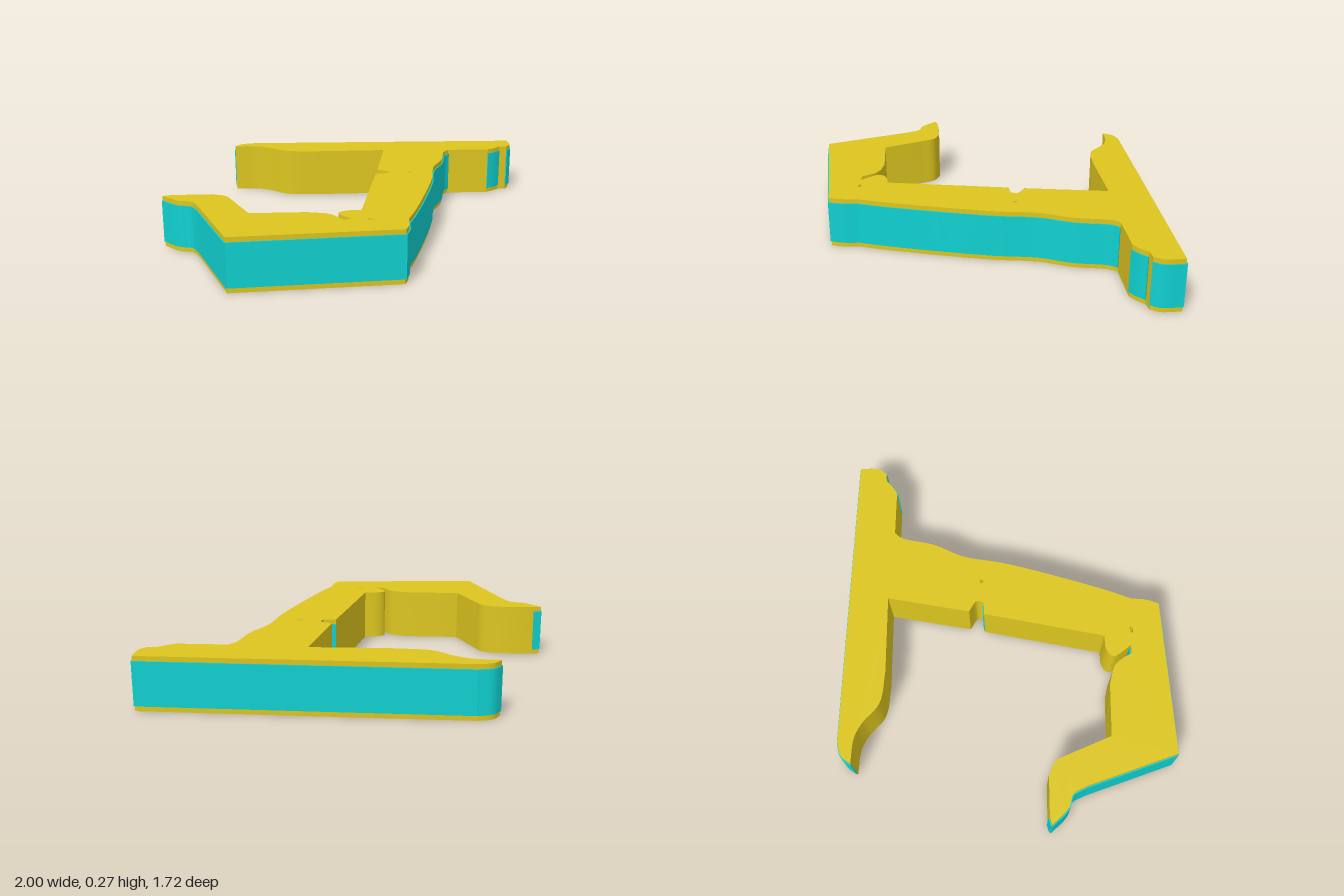
import * as THREE from 'three';
import { toCreasedNormals } from 'three/addons/utils/BufferGeometryUtils.js';

const HEIGHT = 0.266, BAND_LOW = 0.025, BAND_HIGH = 0.242, BAND_THICK = 0.006;

// Traces an outline in plan (x, z): one point gives a straight edge, several a smooth curve
class Outline {
  constructor(x, z) {
    this.points = [new THREE.Vector2(x, z)];
    this.bands = [];
  }

  edge(...through) {
    const start = this.points[this.points.length - 1];
    const knots = [start, ...through.map(([x, z]) => new THREE.Vector2(x, z))];
    let run = knots;
    if (through.length > 1) {
      const curve = new THREE.CatmullRomCurve3(knots.map(p => new THREE.Vector3(p.x, 0, p.y)), false, 'centripetal');
      run = curve.getPoints(through.length * 8).map(p => new THREE.Vector2(p.x, p.z));
    }
    this.points.push(...run.slice(1));
    return run;
  }

  // An edge that also carries a coloured band
  banded(name, ...through) {
    this.bands.push({ name, run: this.edge(...through) });
  }
}

function traceFrame() {
  const o = new Outline(-0.68, -0.785);
  // Back beam, outer side
  o.banded('beamTipBand', [-0.64, -0.835], [-0.57, -0.855]);
  o.banded('beamBackBand', [0.99, -0.802]);
  o.banded('beamEndBand', [0.985, -0.7], [0.957, -0.66]);
  o.edge([0.91, -0.655]);
  o.banded('beamStepBand', [0.87, -0.62], [0.83, -0.596]);
  o.edge([0.59, -0.6]);
  // Outer side of the spine and the front edge
  o.banded('spineBand', [0.56, -0.565], [0.515, -0.385], [0.445, -0.23], [0.4, 0], [0.25, 0.5], [0.19, 0.66]);
  o.banded('cornerBand', [0.182, 0.74], [0.16, 0.804]);
  o.banded('frontBand', [-0.648, 0.85]);
  // Hook
  o.banded('hookSideBand', [-0.805, 0.39]);
  o.banded('hookCurveBand', [-0.845, 0.318], [-0.91, 0.295], [-0.995, 0.21]);
  o.banded('hookTipBand', [-0.955, 0.199]);
  o.edge([-0.75, 0.2]);
  o.edge([-0.68, 0.235], [-0.64, 0.315]);
  o.edge([-0.555, 0.52]);
  // Lower arm and its notch
  o.edge([-0.28, 0.525]);
  o.edge([-0.175, 0.56], [-0.115, 0.645]);
  o.banded('lowerNotchBand', [-0.072, 0.645]);
  o.edge([-0.132, 0.55], [-0.095, 0.516], [-0.018, 0.508]);
  // Inner side of the spine and its notch
  o.edge([0.11, -0.118]);
  o.banded('upperNotchBand', [0.175, -0.12]);
  o.edge([0.185, -0.155], [0.126, -0.197]);
  o.edge([0.205, -0.625]);
  // Back beam, inner side
  o.edge([-0.2, -0.626]);
  o.edge([-0.37, -0.65], [-0.475, -0.735], [-0.55, -0.772], [-0.68, -0.785]);
  o.points.pop();
  return o;
}

// Extrude a plan shape between two heights
function slab(shape, low, high) {
  const geo = new THREE.ExtrudeGeometry(shape, { depth: high - low, bevelEnabled: false });
  geo.rotateX(Math.PI / 2).translate(0, high, 0);
  return toCreasedNormals(geo, 0.5);
}

// Thin strip following a run on its outward side
function bandShape(run) {
  const outer = run.map((p, i) => {
    const next = run[Math.min(i + 1, run.length - 1)], last = run[Math.max(i - 1, 0)];
    const t = next.clone().sub(last).normalize();
    return new THREE.Vector2(p.x + t.y * BAND_THICK, p.y - t.x * BAND_THICK);
  });
  return new THREE.Shape([...run, ...outer.reverse()]);
}

export function createModel() {
  const group = new THREE.Group();
  const yellow = new THREE.MeshStandardMaterial({ color: 0xdcc51f });
  const cyan = new THREE.MeshStandardMaterial({ color: 0x10d0d0 });
  const add = (name, geo, material) => {
    const mesh = new THREE.Mesh(geo, material);
    mesh.name = name;
    group.add(mesh);
  };

  // Main plate with its pin hole and slot
  const outline = traceFrame();
  const plate = new THREE.Shape(outline.points);
  const pin = new THREE.Path().absarc(0.297, -0.13, 0.01, 0, Math.PI * 2, true);
  const slot = new THREE.Path();
  slot.absarc(0.022, 0.651, 0.008, -Math.PI / 2, Math.PI / 2, false);
  slot.absarc(0.005, 0.651, 0.008, Math.PI / 2, Math.PI * 1.5, false);
  plate.holes.push(pin, slot);
  add('framePlate', slab(plate, 0, HEIGHT), yellow);

  // Coloured bands along the outer edges and notch floors
  for (const { name, run } of outline.bands) add(name, slab(bandShape(run), BAND_LOW, BAND_HIGH), cyan);
  return group;
}
